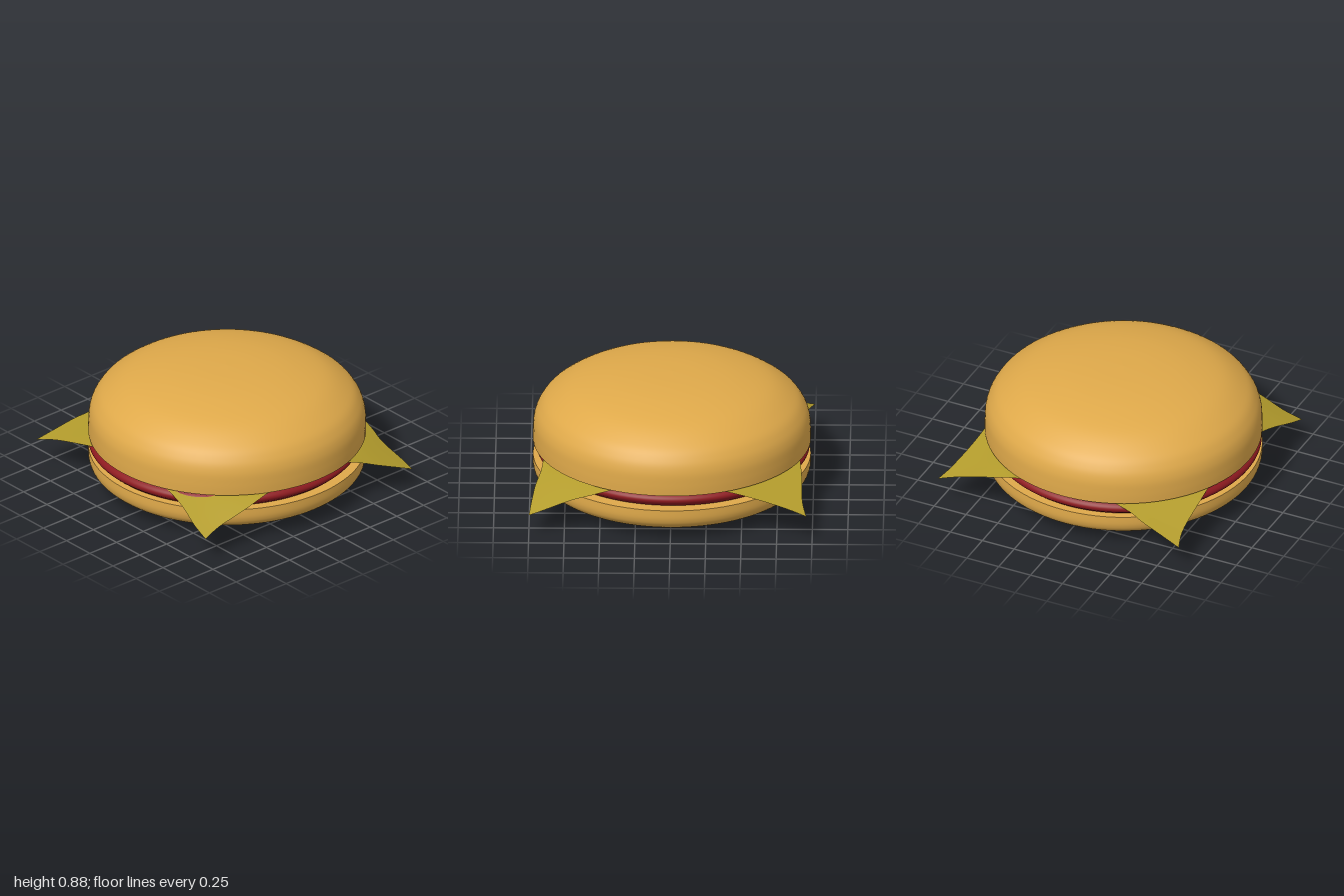
import * as THREE from 'three';

const V2 = (x, y) => new THREE.Vector2(x, y);

// Turned shell from a smooth profile, listed bottom to top as [radius, y]
function turned(points, material) {
  const profile = new THREE.SplineCurve(points.map(p => V2(...p))).getPoints(48);
  profile.forEach(p => { p.x = Math.max(p.x, 0); });
  return new THREE.Mesh(new THREE.LatheGeometry(profile, 96), material);
}

// Bun half: rounded shell closed by a flat cut face
function bun(name, points, cutY, faceUp, material) {
  const group = new THREE.Group();
  group.name = name;
  const shell = turned(points, material);
  shell.name = name + 'Shell';
  const cut = new THREE.Mesh(new THREE.CircleGeometry(0.98, 96), material);
  cut.name = name + 'CutFace';
  cut.rotation.x = faceUp ? -Math.PI / 2 : Math.PI / 2;
  cut.position.y = cutY;
  group.add(shell, cut);
  return group;
}

// Square slice: outline blended from four curved edges, corners drooping
function cheeseSlice(material) {
  const edge = pts => new THREE.SplineCurve(pts.map(p => V2(...p)));
  // edges as [x, z]
  const back = edge([[-0.96, -0.99], [-0.8, -0.94], [-0.48, -0.89], [0, -0.87], [0.5, -0.865], [0.7, -0.84], [0.9, -0.858], [1, -0.86]]);
  const front = edge([[-1, 0.92], [-0.84, 0.878], [-0.5, 0.875], [0, 0.87], [0.48, 0.89], [0.74, 0.95], [0.885, 0.97]]);
  const right = edge([[-0.96, -0.99], [-0.93, -0.82], [-0.92, -0.5], [-0.88, 0], [-0.9, 0.45], [-0.94, 0.6], [-0.97, 0.76], [-1, 0.92]]);
  const left = edge([[1, -0.86], [0.96, -0.6], [0.91, -0.4], [0.89, 0], [0.9, 0.5], [0.895, 0.65], [0.873, 0.83], [0.885, 0.97]]);
  const tipY = [0.21, 0.15, 0.2, 0.185]; // back right, back left, front right, front left
  const mix = THREE.MathUtils.lerp;
  const n = 40;
  const geometry = new THREE.PlaneGeometry(2, 2, n, n);
  const pos = geometry.attributes.position;
  const corner = [back.getPoint(0), back.getPoint(1), front.getPoint(0), front.getPoint(1)];
  for (let j = 0; j <= n; j++) {
    for (let i = 0; i <= n; i++) {
      const s = i / n, t = j / n;
      const b = back.getPointAt(s), f = front.getPointAt(s);
      const r = right.getPointAt(t), l = left.getPointAt(t);
      const blend = k => mix(b[k], f[k], t) + mix(r[k], l[k], s)
        - mix(mix(corner[0][k], corner[1][k], s), mix(corner[2][k], corner[3][k], s), t);
      const reach = Math.abs(2 * s - 1) + Math.abs(2 * t - 1);
      const droop = Math.max(0, (reach - 1.38) / 0.62) ** 1.1;
      const tip = tipY[(s > 0.5 ? 1 : 0) + (t > 0.5 ? 2 : 0)];
      pos.setXYZ(j * (n + 1) + i, blend('x'), mix(0.358, tip, droop), blend('y'));
    }
  }
  geometry.computeVertexNormals();
  const mesh = new THREE.Mesh(geometry, material);
  mesh.name = 'cheeseSlice';
  return mesh;
}

export function createModel() {
  const model = new THREE.Group();
  model.name = 'burger';
  const bread = new THREE.MeshStandardMaterial({ color: 0xdfa94a });
  const meat = new THREE.MeshStandardMaterial({ color: 0x8e1a20 });
  const cheese = new THREE.MeshStandardMaterial({ color: 0xb39c2c, side: THREE.DoubleSide });

  const bottomBun = bun('bottomBun', [[0, 0], [0.25, 0.003], [0.5, 0.012], [0.72, 0.033], [0.87, 0.067],
    [0.95, 0.115], [0.978, 0.17], [0.98, 0.245]], 0.245, true, bread);

  const topBun = bun('topBun', [[0.98, 0.36], [0.98, 0.44], [0.972, 0.53], [0.94, 0.61], [0.87, 0.69],
    [0.71, 0.785], [0.48, 0.845], [0.24, 0.873], [0, 0.88]], 0.36, false, bread);

  // Patty: flat disc with a bulging rim
  const patty = turned([[0, 0.24], [0.45, 0.24], [0.86, 0.243], [0.935, 0.265], [0.963, 0.303],
    [0.935, 0.338], [0.86, 0.356], [0.45, 0.357], [0, 0.357]], meat);
  patty.name = 'patty';
  patty.position.set(-0.008, 0, 0.018);

  model.add(bottomBun, patty, cheeseSlice(cheese), topBun);
  return model;
}
